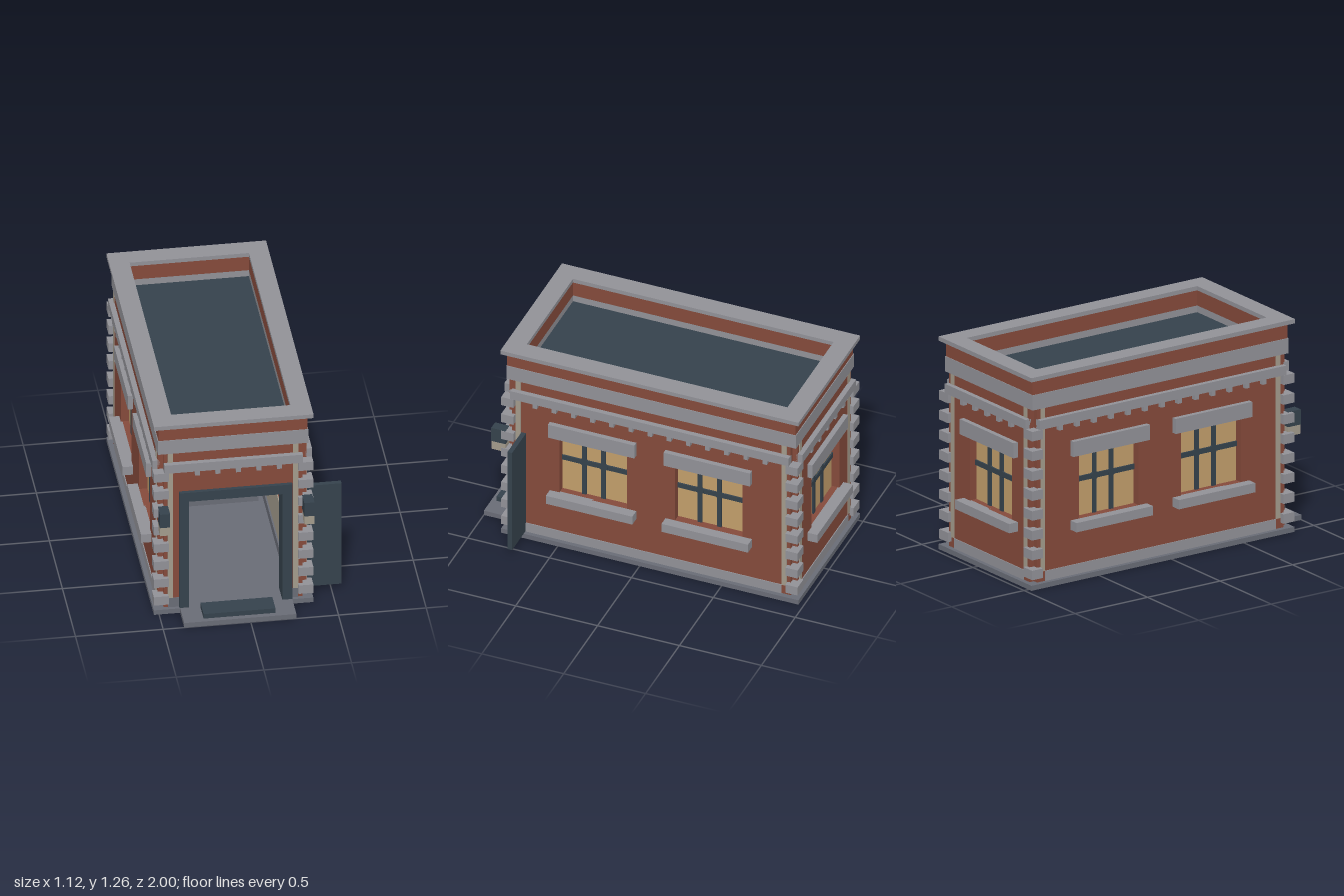
import * as THREE from 'three';

const mat = (name, color) => {
  const m = new THREE.MeshStandardMaterial({ color });
  m.name = name;
  return m;
};

export function createModel() {
  const brick = mat('brick red', 0x854a3b);
  const stone = mat('trim grey', 0x919197);
  const base = mat('foundation grey', 0x696c76);
  const dark = mat('dark slate', 0x35424c);
  const beige = mat('plaster beige', 0xa39b8c);
  const tan = mat('window tan', 0xc29e6b);
  const green = mat('leaf green', 0x76ac6e);

  const root = new THREE.Group();
  root.name = 'shopBuilding';

  const add = (parent, name, geo, material) => {
    const m = new THREE.Mesh(geo, material);
    m.name = name;
    parent.add(m);
    return m;
  };
  // Box given by its extents on each axis
  const box = (parent, name, material, [x0, x1], [y0, y1], [z0, z1]) => {
    const m = add(parent, name, new THREE.BoxGeometry(x1 - x0, y1 - y0, z1 - z0), material);
    m.position.set((x0 + x1) / 2, (y0 + y1) / 2, (z0 + z1) / 2);
    return m;
  };
  const poly = (pts, Type = THREE.Shape) => new Type(pts.map(p => new THREE.Vector2(...p)));
  const rect = (x0, x1, y0, y1) => [[x0, y0], [x1, y0], [x1, y1], [x0, y1]];
  const extrude = (shape, depth) => new THREE.ExtrudeGeometry(shape, { depth, bevelEnabled: false });

  // All walls are laid out around the building's own centre
  const CX = -0.075, CZ = -0.06, HW = 0.425, HD = 0.88, T = 0.085;
  const building = new THREE.Group();
  building.name = 'building';
  building.position.set(CX, 0, CZ);
  root.add(building);

  // Rectangular ring lying flat, used for the parapet courses
  const ring = (name, material, out, y0, y1) => {
    const s = poly(rect(-HW - out, HW + out, -HD - out, HD + out));
    s.holes.push(poly(rect(-HW + T, HW - T, -HD + T, HD - T), THREE.Path));
    const g = extrude(s, y1 - y0);
    g.rotateX(-Math.PI / 2);
    add(building, name, g, material).position.y = y0;
  };
  ring('friezeBand', stone, 0.004, 1.06, 1.15);
  ring('parapet', brick, 0, 1.15, 1.24);
  ring('parapetCap', stone, 0.03, 1.24, 1.265);

  // Foundation, entrance step and roof
  box(building, 'foundation', base, [-HW - 0.03, HW + 0.03], [0, 0.03], [-HD - 0.03, HD + 0.025]);
  box(root, 'entranceStep', base, [-0.38, 0.26], [0, 0.03], [0.84, 1.0]);
  box(root, 'doorMat', dark, [-0.265, 0.145], [0.03, 0.06], [0.85, 0.97]);
  box(building, 'roof', dark, [-HW + T, HW - T], [1.08, 1.11], [-HD + T, HD - T]);
  box(building, 'ceiling', beige, [-HW + T, HW - T], [1.07, 1.08], [-HD + T, HD - T]);

  const WIN = { half: 0.206, y0: 0.355, y1: 0.74 };

  // Recessed window with sill and lintel, centred at u, wall face at z = d
  const addWindow = (wall, u, d) => {
    const w = new THREE.Group();
    w.name = 'window';
    w.position.set(u, 0, d);
    wall.add(w);
    const { half, y0, y1 } = WIN;
    box(w, 'glass', tan, [-half, half], [y0, y1], [-0.055, -0.047]);
    for (const x of [-0.07, 0.047]) {
      box(w, 'mullion', dark, [x - 0.0135, x + 0.0135], [y0, y1], [-0.065, -0.037]);
      const boss = add(w, 'crossingBoss', new THREE.CylinderGeometry(0.026, 0.026, 0.029, 8), dark);
      boss.rotation.set(Math.PI / 2, Math.PI / 8, 0);
      boss.position.set(x, 0.575, -0.051);
    }
    box(w, 'crossbar', dark, [-half, half], [0.56, 0.59], [-0.0645, -0.0375]);
    box(w, 'sill', stone, [-0.264, 0.264], [0.3, y0], [-0.01, 0.06]);
    box(w, 'lintel', stone, [-0.264, 0.264], [y1, 0.83], [-0.01, 0.03]);
  };

  // One wall: local x runs along it, local z points outwards
  const addWall = (name, angle, half, d, windows, door) => {
    const wall = new THREE.Group();
    wall.name = name;
    wall.rotation.y = angle;
    building.add(wall);

    const panel = (L, top) => {
      const s = poly(door
        ? [[-L, 0.03], [door[0], 0.03], [door[0], 0.77], [door[1], 0.77], [door[1], 0.03], [L, 0.03], [L, top], [-L, top]]
        : rect(-L, L, 0.03, top));
      for (const u of windows)
        s.holes.push(poly(rect(u - WIN.half, u + WIN.half, WIN.y0, WIN.y1), THREE.Path));
      return s;
    };
    const L = half - 0.03;
    add(wall, 'brickWall', extrude(panel(L, 1.06), T), brick).position.z = d - T;
    add(wall, 'innerPlaster', extrude(panel(half - T, 1.07), 0.006), beige).position.z = d - T - 0.006;

    // Plaster strips near the corners
    for (const s of [-1, 1]) {
      const c = s * (half - 0.068);
      box(wall, 'cornerStrip', beige, [c - 0.015, c + 0.015], [0.09, 1.06], [d - 0.002, d + 0.004]);
    }
    // Skirting outside and inside, split around a doorway
    const e = half - 0.085;
    const runs = door ? [[-half + 0.055, door[0]], [door[1], half - 0.055]] : [[-e, e]];
    for (const r of runs) {
      box(wall, 'outerSkirting', door ? base : stone, r, [0.03, 0.09], [d - 0.002, d + 0.005]);
      if (!door) box(wall, 'innerSkirting', base, r, [0.03, 0.09], [d - T - 0.015, d - T]);
    }
    // Cornice with dentils
    box(wall, 'cornice', stone, [-L, L], [0.945, 1.0], [d - 0.01, d + 0.03]);
    const n = Math.floor((half - 0.08) / 0.117);
    for (let i = -n; i <= n; i++) {
      const x = i * 0.117 + (door ? 0.028 : 0);
      box(wall, 'dentil', stone, [x - 0.0135, x + 0.0135], [0.915, 0.946], [d - 0.01, d + 0.026]);
    }
    for (const u of windows) addWindow(wall, u, d);
  };
  addWall('frontWall', 0, HW, HD, [], [-0.28, 0.305]);
  addWall('backWall', Math.PI, HW, HD, [0.015]);
  addWall('leftWall', Math.PI / 2, HD, HW, [-0.356, 0.35]);
  addWall('rightWall', -Math.PI / 2, HD, HW, [-0.356, 0.35]);

  // Corner quoin blocks
  for (const sx of [-1, 1]) for (const sz of [-1, 1]) for (let i = 0; i < 8; i++) {
    const y = 0.09 + i * 0.118;
    const q = add(building, 'quoin', new THREE.BoxGeometry(0.085, 0.056, 0.075), stone);
    q.position.set(sx * (HW - 0.0125), y, sz * (HD - 0.0125));
  }

  // Door frame and the opened leaf
  const frame = poly([[-0.383, 0.03], [-0.328, 0.03], [-0.328, 0.74], [0.203, 0.74],
    [0.203, 0.03], [0.262, 0.03], [0.262, 0.8], [-0.383, 0.8]]);
  add(root, 'doorFrame', extrude(frame, 0.12), dark).position.z = 0.722;
  box(root, 'doorLeaf', dark, [0.35, 0.557], [0.035, 0.71], [0.705, 0.733]);

  // Wall lamps on the front corners
  for (const x of [-0.475, 0.348]) {
    box(root, 'lampHood', dark, [x - 0.029, x + 0.029], [0.62, 0.71], [0.82, 0.907]);
    box(root, 'lampShade', beige, [x - 0.028, x + 0.028], [0.565, 0.62], [0.82, 0.905]);
  }

  // Interior: counter, cabinet, till and planters
  const room = new THREE.Group();
  room.name = 'interior';
  root.add(room);
  box(room, 'cabinet', dark, [-0.4, -0.24], [0.03, 0.62], [-0.35, -0.15]);
  box(room, 'counterPlinth', base, [-0.24, 0.22], [0.03, 0.09], [-0.34, -0.19]);
  box(room, 'counter', beige, [-0.24, 0.22], [0.09, 0.24], [-0.35, -0.18]);
  box(room, 'counterTop', tan, [-0.24, 0.23], [0.24, 0.266], [-0.36, -0.17]);
  box(room, 'till', dark, [-0.12, -0.06], [0.266, 0.325], [-0.3, -0.22]);
  box(room, 'tillScreen', dark, [-0.06, -0.033], [0.298, 0.325], [-0.3, -0.22]);
  box(room, 'smallBox', beige, [0.09, 0.145], [0.266, 0.298], [-0.3, -0.24]);
  box(room, 'shelf', beige, [-0.3, 0.25], [0.03, 0.385], [-0.85, -0.7]);
  box(room, 'shelfStep', beige, [-0.15, 0.03], [0.385, 0.443], [-0.85, -0.72]);
  for (const [x0, x1, p] of [[-0.24, -0.178, -0.208], [-0.12, -0.003, -0.09], [0.055, 0.175, 0.057]]) {
    box(room, 'plant', green, [x0, x1], [0.355, 0.387], [-0.7, -0.64]);
    box(room, 'plantLeaf', green, [x1 - 0.028, x1], [0.325, 0.356], [-0.7, -0.64]);
    box(room, 'pot', brick, [p, p + 0.03], [0.325, 0.355], [-0.7, -0.64]);
    box(room, 'potLight', tan, [p + 0.03, p + 0.055], [0.325, 0.355], [-0.7, -0.66]);
  }
  return root;
}
